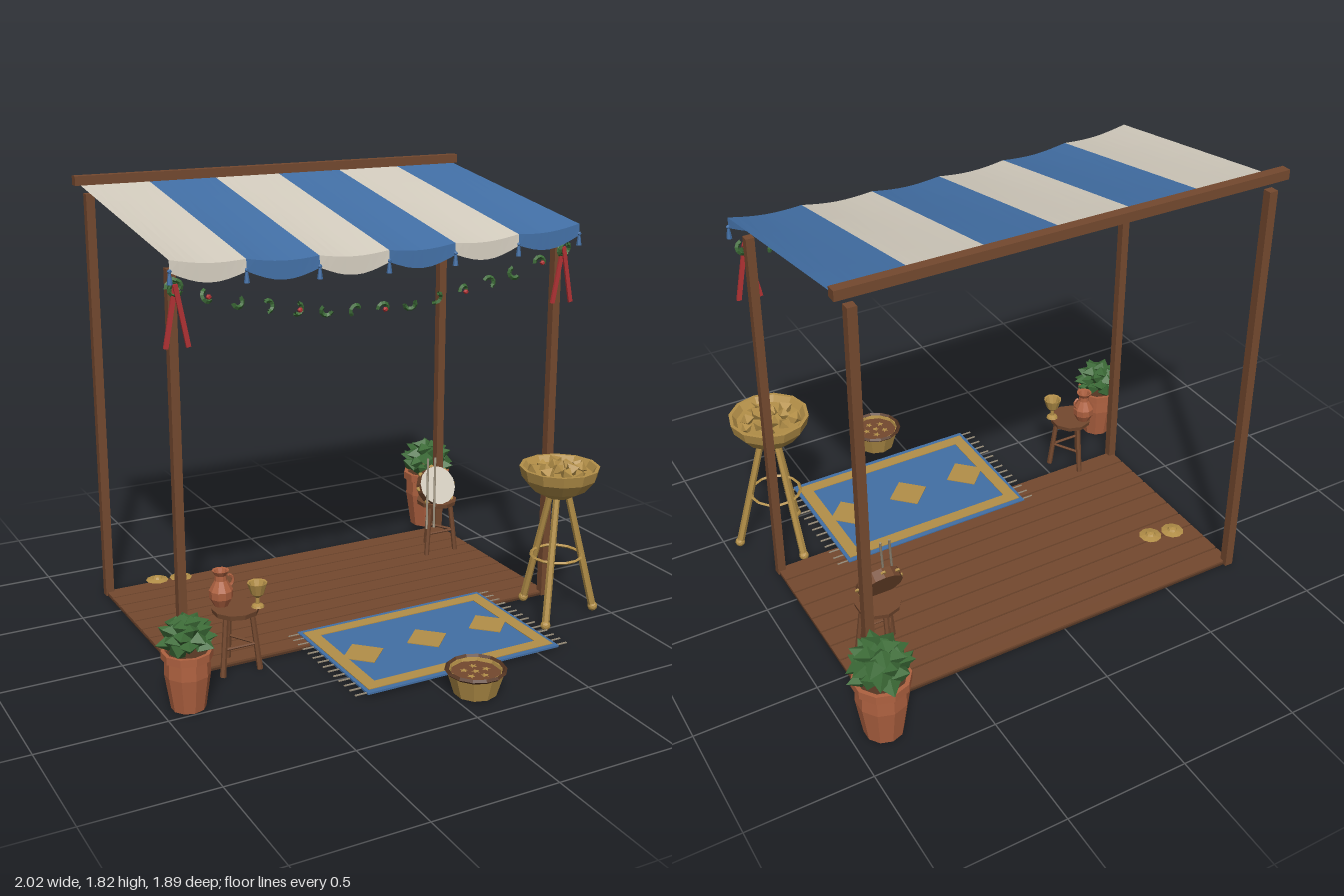
import * as THREE from 'three';

const paint = (name, color) => {
  const m = new THREE.MeshStandardMaterial({ color, flatShading: true, side: THREE.DoubleSide });
  m.name = name;
  return m;
};

export function createModel() {
  const wood = paint('wood', 0x74492f), darkWood = paint('darkWood', 0x553623), cream = paint('cream', 0xd3ccbe),
    blue = paint('blue', 0x426fa5), gold = paint('gold', 0xb38f48), clay = paint('terracotta', 0xae6140),
    green = paint('leafGreen', 0x3c6b37), red = paint('red', 0xb23234), straw = paint('straw', 0x968b78);
  const model = new THREE.Group();
  model.name = 'marketStall';

  let seed = 7;
  const rand = (a = 0, b = 1) => {
    seed = (seed * 16807) % 2147483647;
    return a + (b - a) * seed / 2147483647;
  };
  const V = (x, y, z) => new THREE.Vector3(x, y, z);
  const group = (name, x = 0, y = 0, z = 0) => {
    const g = new THREE.Group();
    g.name = name;
    g.position.set(x, y, z);
    model.add(g);
    return g;
  };
  const add = (parent, name, geo, mat, x = 0, y = 0, z = 0) => {
    const m = new THREE.Mesh(geo, mat);
    m.name = name;
    m.position.set(x, y, z);
    parent.add(m);
    return m;
  };
  const box = (p, name, mat, w, h, d, x, y, z) => add(p, name, new THREE.BoxGeometry(w, h, d), mat, x, y, z);
  const rod = (p, name, mat, a, b, rTop, rBottom = rTop, sides = 6) => {
    const m = add(p, name, new THREE.CylinderGeometry(rTop, rBottom, a.distanceTo(b), sides), mat);
    m.position.copy(a).add(b).multiplyScalar(0.5);
    m.quaternion.setFromUnitVectors(V(0, 1, 0), b.clone().sub(a).normalize());
    return m;
  };
  const lathe = (p, name, mat, points, sides, x = 0, y = 0, z = 0) =>
    add(p, name, new THREE.LatheGeometry(points.map(q => new THREE.Vector2(...q)), sides), mat, x, y, z);
  const ring = (p, name, mat, r, tube, x, y, z) => {
    const m = add(p, name, new THREE.TorusGeometry(r, tube, 4, 14), mat, x, y, z);
    m.rotation.x = Math.PI / 2;
    return m;
  };
  const CX = 0.019;

  // Plank floor
  const floor = group('floor');
  box(floor, 'floorBase', darkWood, 1.7, 0.008, 0.9, CX, 0.004, -0.245);
  for (let i = 0; i < 10; i++) box(floor, 'plank', wood, 1.7, 0.012, 0.082, CX, 0.01, -0.65 + i * 0.09);

  // Posts and ridge beam
  const frame = group('frame');
  for (const s of [-1, 1]) {
    box(frame, 'frontPost', wood, 0.034, 1.59, 0.034, CX + s * 0.839, 0.795, 0.195);
    box(frame, 'backPost', wood, 0.036, 1.75, 0.036, CX + s * 0.839, 0.875, -0.69);
  }
  box(frame, 'ridgeBeam', wood, 1.8, 0.038, 0.04, CX, 1.805, -0.69);

  // Striped canopy with a sagging edge, scalloped valance and tassels
  const canopy = group('canopy');
  const W = 0.2925, X0 = -0.858;
  const edgeY = x => {
    const u = (x - CX) / 0.8775, t = (x - X0) / W;
    return 1.637 - 0.036 * (1 - u * u) - 0.012 * Math.abs(Math.sin(Math.PI * t));
  };
  const sheet = (name, mat, i, rows, place) => {
    const geo = new THREE.PlaneGeometry(1, 1, 8, rows), pos = geo.attributes.position;
    for (let k = 0; k < pos.count; k++) {
      const t = pos.getX(k) + 0.5, v = 0.5 - pos.getY(k), x = X0 + (i + t) * W;
      pos.setXYZ(k, x, ...place(x, t, v));
    }
    geo.computeVertexNormals();
    add(canopy, name, geo, mat);
  };
  for (let i = 0; i < 6; i++) {
    const mat = i % 2 ? blue : cream;
    sheet('roofStripe', mat, i, 4, (x, t, v) => [THREE.MathUtils.lerp(1.789, edgeY(x), v), -0.69 + 0.98 * v]);
    sheet('valance', mat, i, 1, (x, t, v) => [edgeY(x) - v * (0.045 + 0.024 * Math.sin(Math.PI * t)), 0.29 + 0.004 * v]);
  }
  for (let i = 0; i <= 6; i++) {
    const x = X0 + i * W, y = edgeY(x) - 0.04;
    add(canopy, 'tasselKnot', new THREE.IcosahedronGeometry(0.009), blue, x, y, 0.293);
    add(canopy, 'tassel', new THREE.CylinderGeometry(0.005, 0.011, 0.042, 6), blue, x, y - 0.026, 0.293);
  }

  // Leaf garland with berries, and ribbons at the posts
  const garland = group('garland');
  const crescent = (x, y, z) => {
    const m = add(garland, 'garlandLeaf', new THREE.TorusGeometry(0.021, 0.009, 4, 6, 3.7), green, x, y, z);
    m.rotation.set(rand(-0.4, 0.4), rand(-0.4, 0.4), rand(0, 6.28));
  };
  for (let i = 0; i < 13; i++) {
    const u = (i - 6) / 7, x = CX + u * 0.842, y = 1.37 + 0.155 * Math.pow(Math.abs(u), 1.8);
    crescent(x, y, 0.245);
    if (i % 3 === 0) add(garland, 'berry', new THREE.IcosahedronGeometry(0.011), red, x, y, 0.266);
  }
  for (const s of [-1, 1]) {
    const x = CX + s * 0.839;
    for (let k = 0; k < 4; k++) crescent(x + rand(-0.015, 0.015), 1.53 + rand(-0.015, 0.02), 0.24);
    for (const t of [-1, 1]) {
      const r = box(garland, 'ribbon', red, 0.018, 0.235, 0.009, x + t * 0.02, 1.425, 0.244 + t * 0.004);
      r.rotation.z = t * 0.19;
    }
  }

  // Rug with border, diamonds and fringe
  const rug = group('rug', 0.155, 0, 0.385);
  box(rug, 'rugCloth', blue, 0.87, 0.008, 0.6, 0, 0.0165, 0);
  for (const s of [-1, 1]) {
    box(rug, 'rugBorderLong', gold, 0.84, 0.003, 0.052, 0, 0.022, s * 0.252);
    box(rug, 'rugBorderShort', gold, 0.052, 0.003, 0.46, s * 0.394, 0.022, 0);
    for (let i = 0; i < 14; i++) box(rug, 'fringe', straw, 0.05, 0.004, 0.007, s * 0.458, 0.016, -0.286 + i * 0.044);
  }
  for (let i = -1; i <= 1; i++) {
    const d = box(rug, 'rugDiamond', gold, 0.13, 0.003, 0.13, i * 0.293, 0.022, 0);
    d.rotation.y = Math.PI / 4;
  }

  // Basket of small stars
  const basket = group('basket', 0.1, 0, 0.83);
  lathe(basket, 'basketBody', gold, [[0, 0.002], [0.083, 0.002], [0.112, 0.095], [0.1, 0.095], [0.095, 0.075]], 10);
  ring(basket, 'basketRim', darkWood, 0.11, 0.009, 0, 0.096, 0);
  add(basket, 'basketFill', new THREE.CylinderGeometry(0.1, 0.1, 0.008, 10), wood, 0, 0.078, 0);
  for (let i = 0; i < 6; i++) {
    const a = i * 1.26, r = i ? 0.045 : 0, pts = [];
    for (let k = 0; k < 10; k++) {
      const q = k % 2 ? 0.008 : 0.018;
      pts.push(new THREE.Vector2(q * Math.sin(k * Math.PI / 5), q * Math.cos(k * Math.PI / 5)));
    }
    const star = add(basket, 'star', new THREE.ShapeGeometry(new THREE.Shape(pts)), gold, r * Math.cos(a), 0.086, r * Math.sin(a));
    star.rotation.set(-Math.PI / 2, 0, rand(0, 6));
  }

  // Bowl of nuggets on a tripod
  const stand = group('tripodBowl', 0.778, 0, 0.39);
  lathe(stand, 'bowl', gold, [[0, 0.525], [0.05, 0.528], [0.115, 0.565], [0.155, 0.615], [0.166, 0.66], [0.152, 0.66], [0.135, 0.635], [0, 0.625]], 12);
  for (let i = 0; i < 14; i++) {
    const a = i * 2.4, r = 0.031 * Math.sqrt(i);
    const n = add(stand, 'nugget', new THREE.OctahedronGeometry(rand(0.026, 0.036)), gold, r * Math.cos(a), 0.66 - r * 0.15, r * Math.sin(a));
    n.rotation.set(rand(0, 3), rand(0, 3), rand(0, 3));
  }
  for (let i = 0; i < 3; i++) {
    const a = (17 + i * 120) * Math.PI / 180, c = Math.cos(a), s = Math.sin(a);
    rod(stand, 'tripodLeg', gold, V(0.172 * c, 0.02, 0.172 * s), V(0.04 * c, 0.54, 0.04 * s), 0.014, 0.016);
    add(stand, 'tripodFoot', new THREE.IcosahedronGeometry(0.021, 1), gold, 0.173 * c, 0.021, 0.173 * s);
  }
  ring(stand, 'tripodRing', gold, 0.105, 0.007, 0, 0.27, 0);

  // Two round stools
  const stool = (name, x, z, turn) => {
    const g = group(name, x, 0, z);
    add(g, 'seat', new THREE.CylinderGeometry(0.094, 0.09, 0.02, 10), wood, 0, 0.256, 0);
    for (let i = 0; i < 3; i++) {
      const a = turn + i * Math.PI * 2 / 3, c = Math.cos(a), s = Math.sin(a);
      rod(g, 'stoolLeg', wood, V(0.09 * c, 0.006, 0.09 * s), V(0.062 * c, 0.25, 0.062 * s), 0.011, 0.012);
      const b = a + Math.PI * 2 / 3;
      rod(g, 'stoolRung', wood, V(0.078 * c, 0.115, 0.078 * s), V(0.078 * Math.cos(b), 0.115, 0.078 * Math.sin(b)), 0.006);
    }
    return g;
  };
  const jugStool = stool('jugStool', -0.617, 0.24, Math.PI / 6);
  const drumStool = stool('drumStool', 0.7, -0.44, Math.PI / 6);

  // Jug and goblet
  lathe(jugStool, 'jug', clay, [[0, 0.266], [0.028, 0.266], [0.046, 0.3], [0.047, 0.33], [0.024, 0.37], [0.022, 0.39], [0.034, 0.41], [0.025, 0.408], [0.015, 0.38]], 10, -0.042, 0, -0.04);
  const handle = add(jugStool, 'jugHandle', new THREE.TorusGeometry(0.024, 0.006, 5, 8, Math.PI), clay, -0.004, 0.362, -0.04);
  handle.rotation.z = -Math.PI / 2 - 0.2;
  handle.position.x = -0.015;
  lathe(jugStool, 'goblet', gold, [[0, 0.266], [0.026, 0.266], [0.022, 0.274], [0.008, 0.28], [0.008, 0.305], [0.025, 0.32], [0.04, 0.366], [0.033, 0.364], [0.018, 0.325], [0, 0.322]], 10, 0.075, 0, 0.04);

  // Hand drum with jingles, leaning on its stool
  const drum = new THREE.Group();
  drum.name = 'handDrum';
  drum.position.set(-0.015, 0.335, 0.015);
  drum.rotation.x = 62 * Math.PI / 180;
  drumStool.add(drum);
  add(drum, 'drumShell', new THREE.CylinderGeometry(0.09, 0.09, 0.042, 14), [wood, cream, wood]);
  for (let i = 0; i < 8; i++) {
    const a = i * Math.PI / 4;
    add(drum, 'jingle', new THREE.CylinderGeometry(0.011, 0.011, 0.008, 7), gold, 0.091 * Math.cos(a), 0, 0.091 * Math.sin(a));
  }

  // Pair of sticks
  const sticks = group('sticks');
  for (const dx of [0, 0.038]) rod(sticks, 'stick', straw, V(0.572 + dx, 0.18, -0.315), V(0.617 + dx, 0.49, -0.385), 0.005);

  // Pair of small cymbals
  const cymbals = group('cymbals', -0.612, 0.107, -0.495);
  for (const s of [-1, 1]) {
    lathe(cymbals, 'cymbal', gold, [[0.048, 0], [0.022, 0.006], [0.016, 0.014], [0, 0.018]], 10, s * 0.05, 0, s * 0.01);
  }

  // Potted shrubs
  const shrub = (name, x, z, k, tall) => {
    const g = group(name, x, 0, z);
    const h = 0.23 * tall;
    lathe(g, 'pot', clay, [[0, 0], [0.068 * k, 0], [0.09 * k, h * 0.6], [0.088 * k, h * 0.85], [0.1 * k, h * 0.87], [0.1 * k, h], [0.085 * k, h], [0.083 * k, h * 0.9]], 10);
    add(g, 'soil', new THREE.CylinderGeometry(0.084 * k, 0.084 * k, 0.01, 10), darkWood, 0, h * 0.92, 0);
    for (let i = 0; i < 26; i++) {
      const a = i * 2.4, lift = i / 25, r = 0.073 * k * Math.sqrt(1 - lift * lift * 0.95);
      const leaf = add(g, 'leaf', new THREE.OctahedronGeometry(0.05 * k), green, r * Math.cos(a), h + (0.02 + lift * 0.095) * k, r * Math.sin(a));
      leaf.scale.set(1, 0.62, 0.8);
      leaf.rotation.set(rand(-0.6, 0.6), -a, rand(-0.3, 0.6));
    }
  };
  shrub('frontShrub', -0.893, 0.428, 0.96, 1);
  shrub('backShrub', 0.868, -0.81, 1.13, 1.17);

  return model;
}
